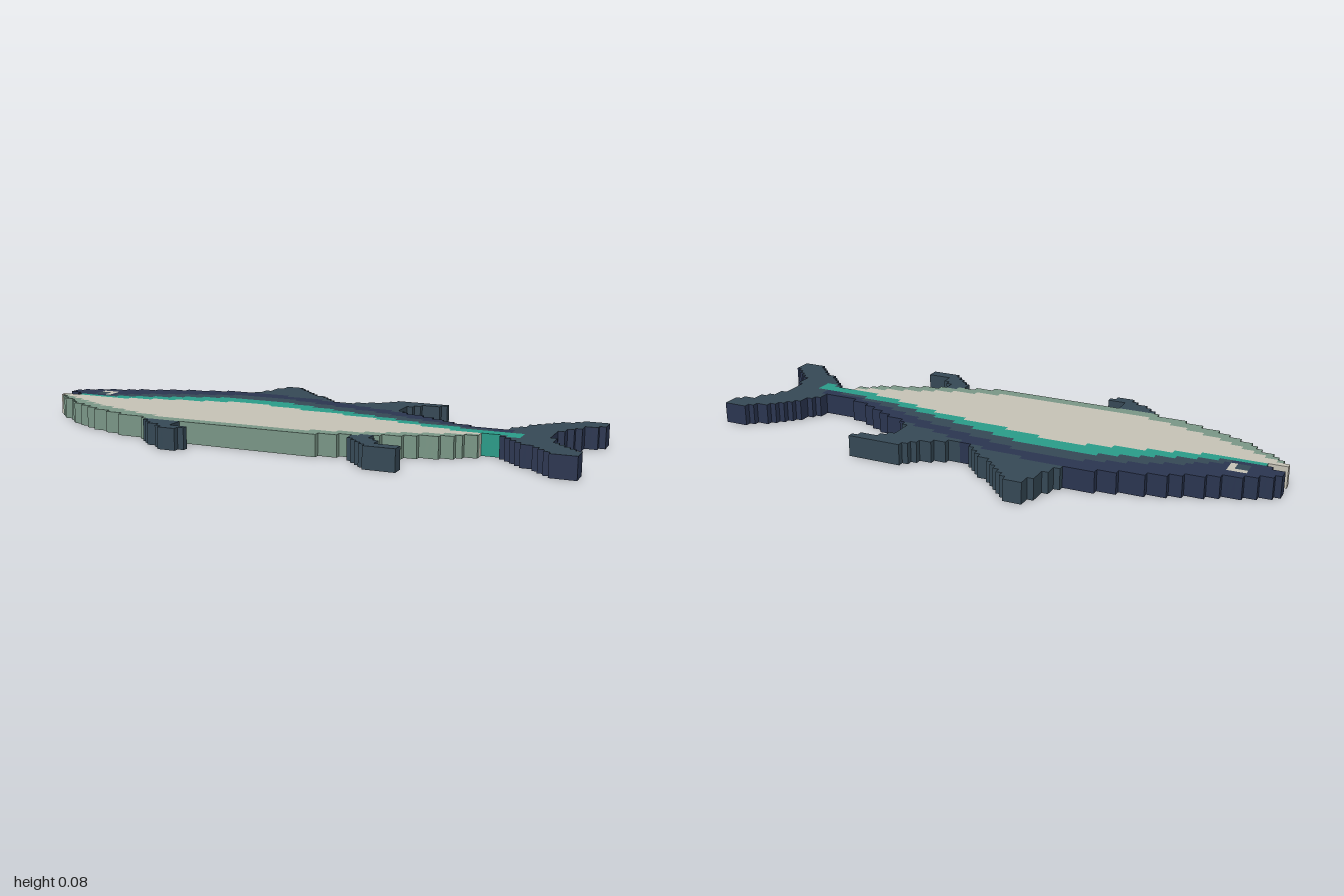
import * as THREE from 'three';

const CELL = 2 / 92, COLS = 92, ROWS = 40, HEIGHT = 0.075;

const mat = (name, color) => new THREE.MeshStandardMaterial({ name, color });

// Contour lines along the fish, from head to tail, as [x, z]
const back = [[-1, -.03], [-.96, -.07], [-.88, -.1], [-.77, -.145], [-.66, -.19], [-.56, -.22], [-.45, -.25], [-.3, -.26],
  [-.1, -.24], [.03, -.21], [.16, -.17], [.3, -.13], [.4, -.09], [.51, -.04], [.62, 0], [.74, 0]];
const bandTop = [[-.82, 0], [-.7, -.07], [-.55, -.13], [-.4, -.185], [-.13, -.185], [.1, -.13], [.3, -.07], [.5, 0], [.7, .03]];
const stripeTop = [[-.92, .01], [-.82, .02], [-.72, -.01], [-.58, -.06], [-.42, -.12], [-.1, -.12], [.02, -.09],
  [.25, -.03], [.45, .02], [.62, .04], [.78, .04]];
const stripeBottom = [[-.96, .05], [-.8, .05], [-.66, .02], [-.5, -.02], [-.32, -.06], [-.2, -.06], [-.03, -.03],
  [.14, -.01], [.3, .02], [.46, .06], [.6, .09], [.78, .1]];
const bellyLow = [[-1, .055], [-.92, .09], [-.85, .13], [-.72, .19], [-.56, .245], [-.42, .28], [.1, .28],
  [.3, .23], [.46, .17], [.57, .13], [.67, .1]];
const keel = [[-.96, .09], [-.88, .16], [-.78, .22], [-.64, .28], [-.48, .315], [-.35, .333], [.1, .333],
  [.22, .3], [.35, .26], [.48, .21], [.59, .16], [.67, .1], [.73, .09]];
const between = (a, b) => [...a, ...[...b].reverse()];
const rect = (x0, x1, z0, z1) => [[x0, z0], [x1, z0], [x1, z1], [x0, z1]];

function inside(poly, x, z) {
  let hit = false;
  poly.forEach(([ax, az], i) => {
    const [bx, bz] = poly[(i + 1) % poly.length];
    if ((az > z) !== (bz > z) && x < ax + (bx - ax) * (z - az) / (bz - az)) hit = !hit;
  });
  return hit;
}

export function createModel() {
  const navy = mat('navy', 0x2b3651), slate = mat('slate', 0x364956), teal = mat('teal', 0x2a9d8a);
  const sage = mat('sage', 0x7b9888), cream = mat('cream', 0xc8c4b7);

  // Later parts overwrite earlier ones on the cell grid; edge is the colour of the walls
  const parts = [
    { name: 'dorsalFin', face: slate, poly: [[-.36, -.22], [-.31, -.35], [-.27, -.44], [-.235, -.44], [-.17, -.37], [-.07, -.29], [.04, -.19]] },
    { name: 'secondDorsalFin', face: slate, poly: [[.05, -.18], [.05, -.21], [.14, -.25], [.23, -.325], [.405, -.325], [.4, -.3],
      [.32, -.27], [.28, -.23], [.28, -.17], [.33, -.1]] },
    { name: 'pelvicFin', face: slate, poly: [[-.49, .3], [-.42, .37], [-.33, .435], [-.28, .435], [-.27, .4], [-.32, .38], [-.34, .32]] },
    { name: 'analFin', face: slate, poly: [[.27, .27], [.3, .34], [.39, .415], [.465, .415], [.48, .38], [.4, .36], [.33, .25]] },
    { name: 'tailFin', face: slate, edge: navy, poly: [[.72, .02], [.73, -.05], [.8, -.14], [.93, -.24], [1, -.24], [1, -.19],
      [.93, -.13], [.88, -.04], [.88, .06], [.91, .15], [1, .22], [1, .275], [.92, .275], [.83, .2], [.72, .1], [.7, .08]] },
    { name: 'back', face: navy, poly: between(back, [[-1, 0], [-.9, .03], ...stripeTop.slice(1, -1), [.74, .05]]) },
    { name: 'flankBand', face: slate, poly: between(bandTop, stripeTop.slice(1, -1)) },
    { name: 'lowerBelly', face: sage, poly: between(bellyLow, keel) },
    { name: 'belly', face: cream, poly: between([[-1, .035], ...stripeBottom.slice(0, -1), [.66, .1]], bellyLow) },
    { name: 'sideStripe', face: teal, poly: between(stripeTop, stripeBottom) },
    { name: 'eyeSocket', face: slate, poly: rect(-.89, -.84, -.043, 0) },
    { name: 'eyeRingTop', face: cream, poly: rect(-.89, -.825, -.066, -.043) },
    { name: 'eyeRingSide', face: cream, poly: rect(-.848, -.825, -.066, 0) },
  ];

  const xAt = c => -1 + c * CELL, zAt = r => (r - ROWS / 2) * CELL;
  const grid = Array.from({ length: ROWS }, (_, r) => Array.from({ length: COLS }, (_, c) =>
    parts.findLastIndex(p => inside(p.poly, xAt(c + .5), zAt(r + .5)))));
  const filled = (r, c) => (grid[r]?.[c] ?? -1) >= 0;

  const group = new THREE.Group();
  group.name = 'fish';
  parts.forEach((part, id) => {
    const caps = [], walls = [];
    const quad = (out, a, b, c, d) => out.push(...a, ...b, ...c, ...a, ...c, ...d);
    // Upright wall, seen from the right-hand side of the path a to b
    const wall = (ax, az, bx, bz) => quad(walls, [ax, 0, az], [bx, 0, bz], [bx, HEIGHT, bz], [ax, HEIGHT, az]);
    for (let r = 0; r < ROWS; r++) {
      const z0 = zAt(r), z1 = zAt(r + 1);
      for (let c = 0; c < COLS; c++) {
        if (grid[r][c] !== id) continue;
        const x0 = xAt(c), x1 = xAt(c + 1);
        // Top and bottom, one strip for each run of cells
        if (grid[r][c - 1] !== id) {
          let end = c;
          while (grid[r][end] === id) end++;
          const xe = xAt(end);
          quad(caps, [x0, HEIGHT, z1], [xe, HEIGHT, z1], [xe, HEIGHT, z0], [x0, HEIGHT, z0]);
          quad(caps, [x0, 0, z0], [xe, 0, z0], [xe, 0, z1], [x0, 0, z1]);
        }
        // Walls only on the outline of the fish
        if (!filled(r + 1, c)) wall(x0, z1, x1, z1);
        if (!filled(r - 1, c)) wall(x1, z0, x0, z0);
        if (!filled(r, c + 1)) wall(x1, z1, x1, z0);
        if (!filled(r, c - 1)) wall(x0, z0, x0, z1);
      }
    }
    const geometry = new THREE.BufferGeometry();
    geometry.setAttribute('position', new THREE.Float32BufferAttribute([...caps, ...walls], 3));
    geometry.computeVertexNormals();
    geometry.addGroup(0, caps.length / 3, 0);
    geometry.addGroup(caps.length / 3, walls.length / 3, 1);
    const mesh = new THREE.Mesh(geometry, [part.face, part.edge ?? part.face]);
    mesh.name = part.name;
    group.add(mesh);
  });
  return group;
}
